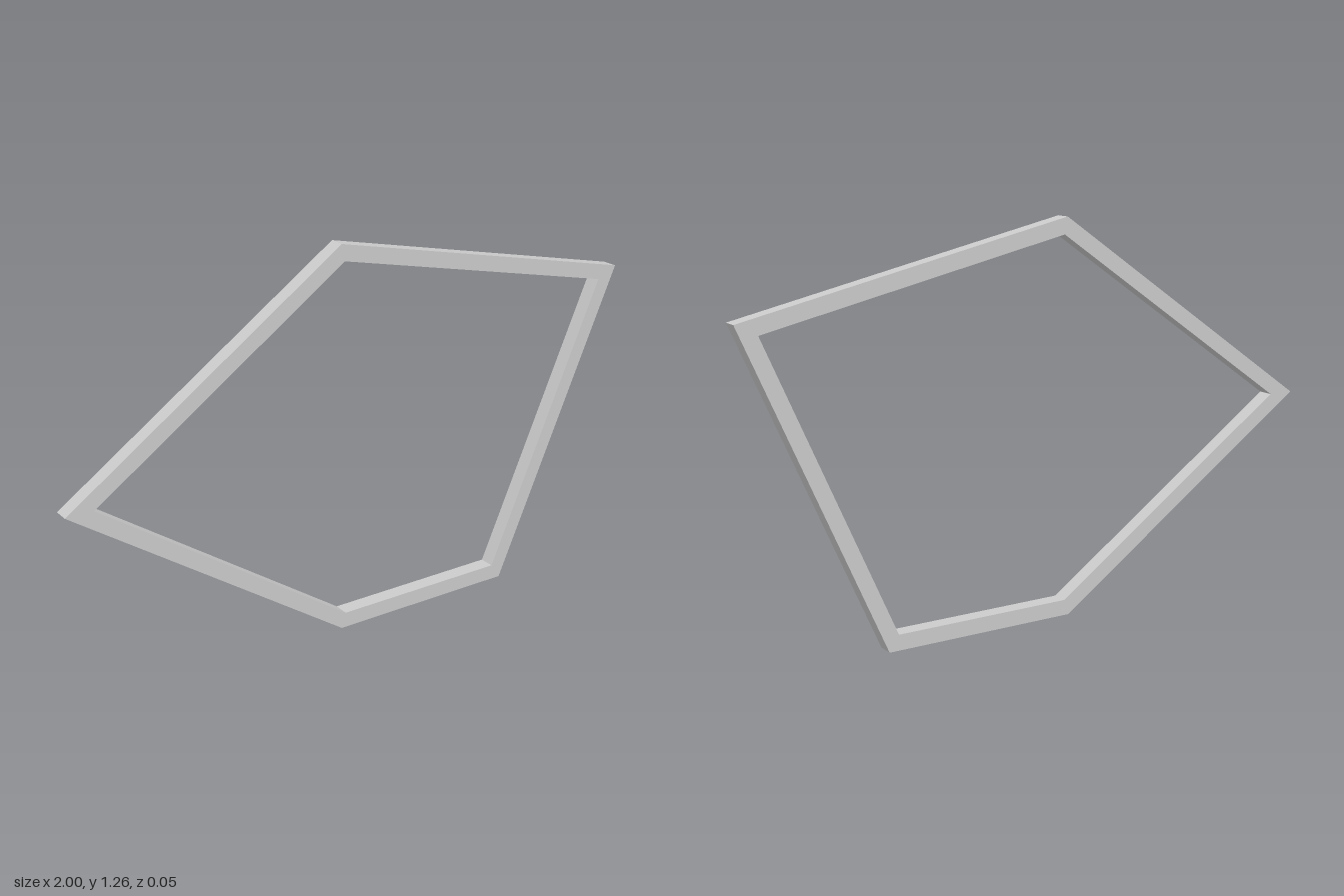
import * as THREE from 'three';

const WIDTH = 0.05;
const DEPTH = 0.052;

// Outer corners, counter-clockwise seen from the front
const outer = [
  [-0.09, 0], [0.55, 0], [1, 1.02], [-0.083, 1.26], [-1, 0.625],
].map(([x, y]) => new THREE.Vector2(x, y));

// Mitred inward offset of a counter-clockwise polygon
function inset(points, w) {
  const n = points.length;
  return points.map((p, i) => {
    const a = p.clone().sub(points[(i + n - 1) % n]).normalize();
    const b = points[(i + 1) % n].clone().sub(p).normalize();
    const na = new THREE.Vector2(-a.y, a.x);
    const nb = new THREE.Vector2(-b.y, b.x);
    const miter = na.clone().add(nb);
    return p.clone().addScaledVector(miter, w / (1 + na.dot(nb)));
  });
}

export function createModel() {
  const group = new THREE.Group();
  group.name = 'pentagonFrame';

  // Irregular five-sided frame with a mitred opening
  const shape = new THREE.Shape(outer);
  shape.holes.push(new THREE.Path(inset(outer, WIDTH).reverse()));
  const geometry = new THREE.ExtrudeGeometry(shape, { depth: DEPTH, bevelEnabled: false });
  geometry.translate(0, 0, -DEPTH / 2);

  const frame = new THREE.Mesh(
    geometry,
    new THREE.MeshStandardMaterial({ color: 0xcccccc, flatShading: true }),
  );
  frame.name = 'frame';
  group.add(frame);
  return group;
}
